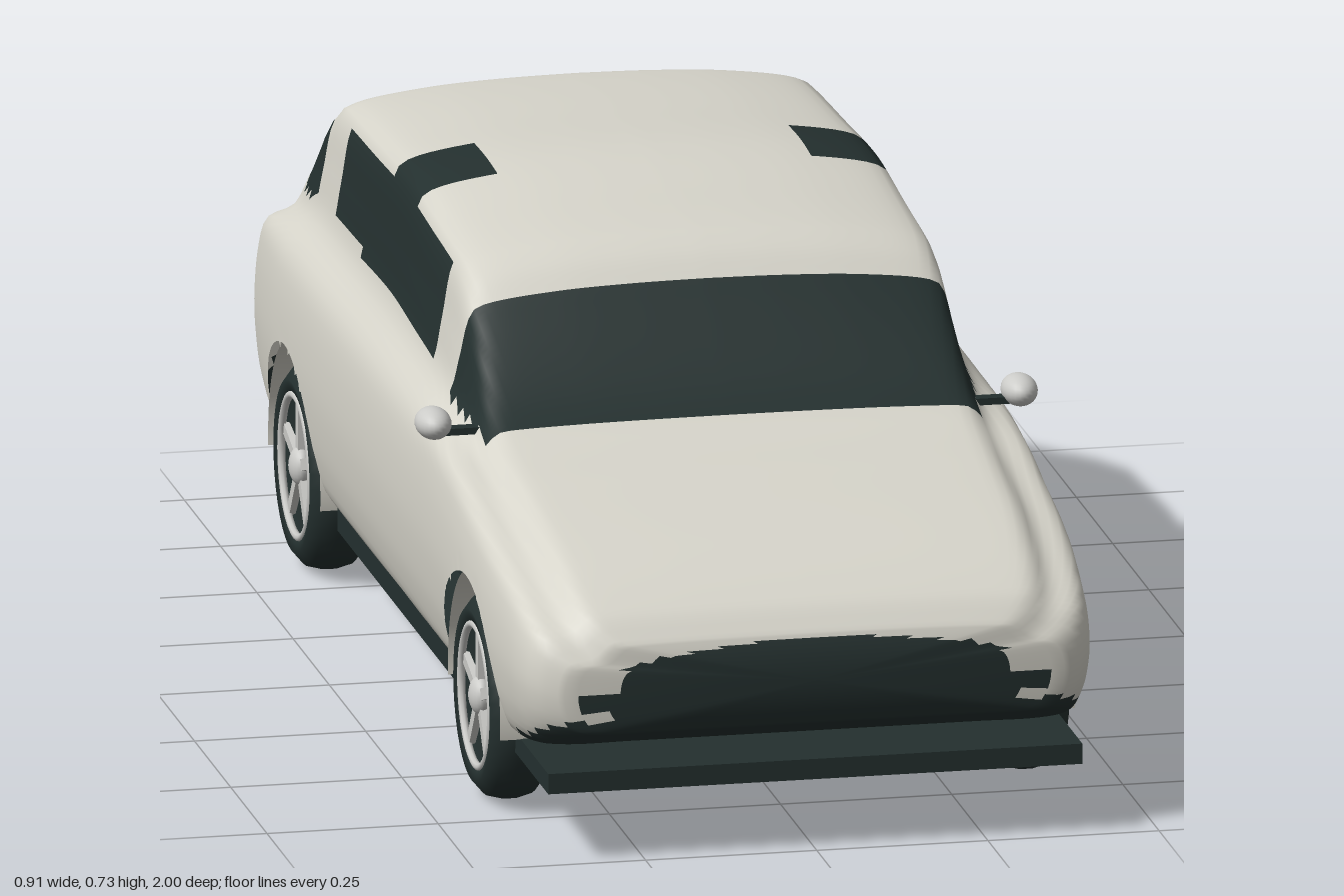
import * as THREE from 'three';

const mat = (name, color, side = THREE.FrontSide) => {
  const m = new THREE.MeshStandardMaterial({ color, side });
  m.name = name;
  return m;
};

// Smooth monotone interpolation through [key, value] pairs with rising keys
function ease(table, k) {
  const n = table.length - 1;
  if (k <= table[0][0]) return table[0][1];
  if (k >= table[n][0]) return table[n][1];
  const sec = i => (table[i + 1][1] - table[i][1]) / (table[i + 1][0] - table[i][0]);
  const slope = i => {
    if (i === 0) return sec(0);
    if (i === n) return sec(n - 1);
    const a = sec(i - 1), b = sec(i);
    return a * b <= 0 ? 0 : (2 * a * b) / (a + b);
  };
  let i = 0;
  while (k > table[i + 1][0]) i++;
  const h = table[i + 1][0] - table[i][0], t = (k - table[i][0]) / h, t2 = t * t, t3 = t2 * t;
  return (2 * t3 - 3 * t2 + 1) * table[i][1] + (t3 - 2 * t2 + t) * h * slope(i)
    + (3 * t2 - 2 * t3) * table[i + 1][1] + (t3 - t2) * h * slope(i + 1);
}

// Body outlines along z: half width, underside, shoulder line, centre top
const WIDTH = [[-0.985, 0.36], [-0.97, 0.385], [-0.94, 0.407], [-0.88, 0.422], [-0.7, 0.433], [-0.4, 0.435],
  [0.4, 0.435], [0.7, 0.433], [0.88, 0.422], [0.94, 0.41], [0.97, 0.39], [0.985, 0.365]];
const UNDER = [[-0.985, 0.19], [-0.88, 0.15], [-0.78, 0.138], [0.8, 0.14], [0.9, 0.155], [0.985, 0.19]];
const SHOULDER = [[-0.985, 0.405], [-0.95, 0.43], [-0.85, 0.455], [-0.7, 0.46], [0.3, 0.46], [0.45, 0.447],
  [0.6, 0.42], [0.8, 0.38], [0.95, 0.325], [0.985, 0.29]];
const TOP = [[-0.985, 0.455], [-0.95, 0.49], [-0.85, 0.562], [-0.72, 0.672], [-0.65, 0.705], [-0.4, 0.72], [-0.2, 0.73],
  [0, 0.713], [0.15, 0.697], [0.2, 0.678], [0.25, 0.637], [0.4, 0.512], [0.47, 0.48], [0.6, 0.458],
  [0.8, 0.42], [0.95, 0.36], [0.985, 0.325]];
// Cross-section: [x / half width, height fraction] below and above the shoulder
const LOWER = [[0, 0], [0.3, 0], [0.6, 0], [0.82, 0], [0.93, 0.05], [0.975, 0.22], [0.995, 0.42], [1, 0.62], [0.987, 0.85], [0.955, 1]];
const UPPER = [[0.865, 0.2], [0.83, 0.48], [0.795, 0.8], [0.73, 0.9], [0.5, 0.965], [0.25, 0.992], [0, 1]];

const AXLES = [0.62, -0.62], AXLE_Y = 0.155, ARCH = 0.18, HALF = 80;

function section(z) {
  const w = ease(WIDTH, z), b = ease(UNDER, z), s = ease(SHOULDER, z), t = ease(TOP, z);
  const pts = [...LOWER.map(([x, f]) => new THREE.Vector2(x * w, b + f * (s - b))),
    ...UPPER.map(([x, f]) => new THREE.Vector2(x * w, s + f * (t - s)))];
  const half = new THREE.SplineCurve(pts).getSpacedPoints(HALF);
  const mirrored = half.slice(1, -1).reverse().map(p => new THREE.Vector2(-p.x, p.y));
  return [...half, ...mirrored];
}

// Paint areas: 0 paint, 1 dark, 2 red
function paintAt(x, y, z) {
  const ax = Math.abs(x), within = (v, a, b) => v > a && v < b;
  const under = ease(UNDER, z), top = ease(TOP, z);
  if (y < under + (z < -0.8 ? 0.035 : z > 0.8 ? 0.02 : 0.004)) return 1;
  if (within(z, 0.24, 0.43) && y > 0.475 + (0.43 - z) * 0.12) return 1;
  if (within(z, -0.86, -0.71) && y > 0.5 + (z + 0.86) * 0.17) return 1;
  if (within(z, -0.58, 0.12) && ax > 0.32 && within(y, 0.525 - z * 0.02, 0.46 + 0.79 * (top - 0.46))) return 1;
  if (within(z, -0.28, -0.12) && ax > 0.225 && y > 0.67) return 1;
  if (z > 0.9) {
    if (ax < 0.275 && within(y, 0.19, 0.318 - 0.35 * ax * ax)) return 1;
    if (ax < 0.35 && within(y, 0.222, 0.252)) return 1;
    if (y < 0.222 && ax < 0.24 + (y - 0.16) * 0.9) return 1;
  }
  if (z < -0.955 && ax > 0.325 && within(y, 0.32, 0.45)) return 2;
  return 0;
}

function bodyGeometry() {
  // Nose cap rings, lengthwise sections, tail cap rings
  const rings = [];
  const cap = sign => {
    const base = section(sign * 0.985), cy = (base[0].y + base[HALF].y) / 2, out = [];
    for (let k = 0; k < 18; k++) {
      const s = k / 18 + 0.002;
      out.push(base.map(p => [p.x * s, cy + (p.y - cy) * s, sign * (1 - 0.015 * s * s)]));
    }
    return out;
  };
  rings.push(...cap(1));
  const zs = [0.985];
  for (let k = 98; k >= -98; k--) zs.push(k / 100);
  zs.push(-0.985);
  for (const z of zs) rings.push(section(z).map(p => [p.x, p.y, z]));
  rings.push(...cap(-1).reverse());

  // Pull vertices near a wheel arch onto its circle
  const verts = rings.flat();
  for (const v of verts) for (const az of AXLES) {
    const r = Math.hypot(v[2] - az, v[1] - AXLE_Y);
    if (Math.abs(v[0]) > 0.3 && Math.abs(r - ARCH) < 0.008) {
      v[2] = az + (v[2] - az) * ARCH / r;
      v[1] = AXLE_Y + (v[1] - AXLE_Y) * ARCH / r;
    }
  }

  // Faces sorted by paint, leaving the arches open
  const n = 2 * HALF, faces = [[], [], []];
  for (let i = 0; i < rings.length - 1; i++) for (let j = 0; j < n; j++) {
    const a = i * n + j, b = i * n + (j + 1) % n, c = b + n, d = a + n;
    const mid = [0, 1, 2].map(k => (verts[a][k] + verts[b][k] + verts[c][k] + verts[d][k]) / 4);
    const open = AXLES.some(az => Math.abs(mid[0]) > 0.3 && Math.hypot(mid[2] - az, mid[1] - AXLE_Y) < ARCH - 0.002);
    if (!open) faces[paintAt(...mid)].push(a, d, b, b, d, c);
  }
  const geo = new THREE.BufferGeometry();
  geo.setAttribute('position', new THREE.Float32BufferAttribute(verts.flat(), 3));
  geo.setIndex(faces.flat());
  let start = 0;
  faces.forEach((f, k) => { geo.addGroup(start, f.length, k); start += f.length; });
  geo.computeVertexNormals();
  return geo;
}

export function createModel() {
  const paint = mat('paint', 0xd6d4ca, THREE.DoubleSide);
  const dark = mat('dark trim', 0x24302f, THREE.DoubleSide);
  const red = mat('tail light red', 0xe03c28, THREE.DoubleSide);
  const metal = mat('light metal', 0xcbcbc8);
  const car = new THREE.Group();
  car.name = 'car';
  const add = (parent, name, geo, material, x = 0, y = 0, z = 0) => {
    const m = new THREE.Mesh(geo, material);
    m.name = name;
    m.position.set(x, y, z);
    parent.add(m);
    return m;
  };

  add(car, 'body', bodyGeometry(), [paint, dark, red]);

  // Underside
  add(car, 'frontSplitter', new THREE.BoxGeometry(0.78, 0.03, 0.55), dark, 0, 0.123, 0.715);
  add(car, 'floor', new THREE.BoxGeometry(0.79, 0.035, 0.88), dark, 0, 0.125, 0);
  add(car, 'chassis', new THREE.BoxGeometry(0.6, 0.09, 1.6), dark, 0, 0.19, 0);

  // Wheel: tyre with dark dish, rim, five spokes and hub
  const tyre = new THREE.LatheGeometry([[0.001, -0.01], [0.095, -0.015], [0.105, -0.042], [0.125, -0.047], [0.144, -0.031],
    [0.15, -0.008], [0.15, 0.008], [0.144, 0.031], [0.125, 0.047], [0.108, 0.043], [0.1, 0.03], [0.001, 0.026]]
    .map(([r, t]) => new THREE.Vector2(r, t)), 36).rotateZ(-Math.PI / 2);
  const rim = new THREE.TorusGeometry(0.103, 0.006, 8, 40).rotateY(Math.PI / 2);
  const spoke = new THREE.BoxGeometry(0.012, 0.085, 0.017).translate(0, 0.06, 0);
  const hub = new THREE.SphereGeometry(0.028, 20, 14).scale(0.6, 1, 1);
  // Arch lining: part of an open cylinder across x
  const lining = new THREE.CylinderGeometry(ARCH, ARCH, 0.08, 40, 1, true, -0.1, Math.PI + 0.2)
    .rotateZ(Math.PI / 2).rotateX(0);

  for (const side of [1, -1]) for (const az of AXLES) {
    const wheel = new THREE.Group();
    wheel.name = (az > 0 ? 'front' : 'rear') + (side > 0 ? 'Left' : 'Right') + 'Wheel';
    wheel.position.set(side * 0.377, AXLE_Y, az);
    if (side < 0) wheel.rotation.y = Math.PI;
    add(wheel, 'tyre', tyre, dark);
    add(wheel, 'rim', rim, metal, 0.04);
    add(wheel, 'hub', hub, metal, 0.034);
    for (let k = 0; k < 5; k++) add(wheel, 'spoke', spoke, metal, 0.033).rotation.x = k * Math.PI * 0.4;
    car.add(wheel);

    // Point the open side of the lining down
    const arch = add(car, 'archLining', lining, paint, side * 0.38, AXLE_Y, az);
    arch.rotation.x = 0;
    const p = lining.attributes.position;
    let sum = 0;
    for (let i = 0; i < p.count; i++) sum += p.getY(i);
    if (sum < 0) arch.rotation.x = Math.PI;
  }

  // Door mirrors and exhaust tips
  for (const side of [1, -1]) {
    add(car, 'mirror', new THREE.SphereGeometry(1, 24, 16).scale(0.026, 0.023, 0.04), metal, side * 0.428, 0.493, 0.375);
    add(car, 'mirrorArm', new THREE.BoxGeometry(0.08, 0.01, 0.02), dark, side * 0.395, 0.48, 0.375);
    add(car, 'exhaustTip', new THREE.SphereGeometry(1, 20, 14).scale(0.022, 0.022, 0.03), metal, side * 0.2, 0.178, -0.965);
  }
  return car;
}
